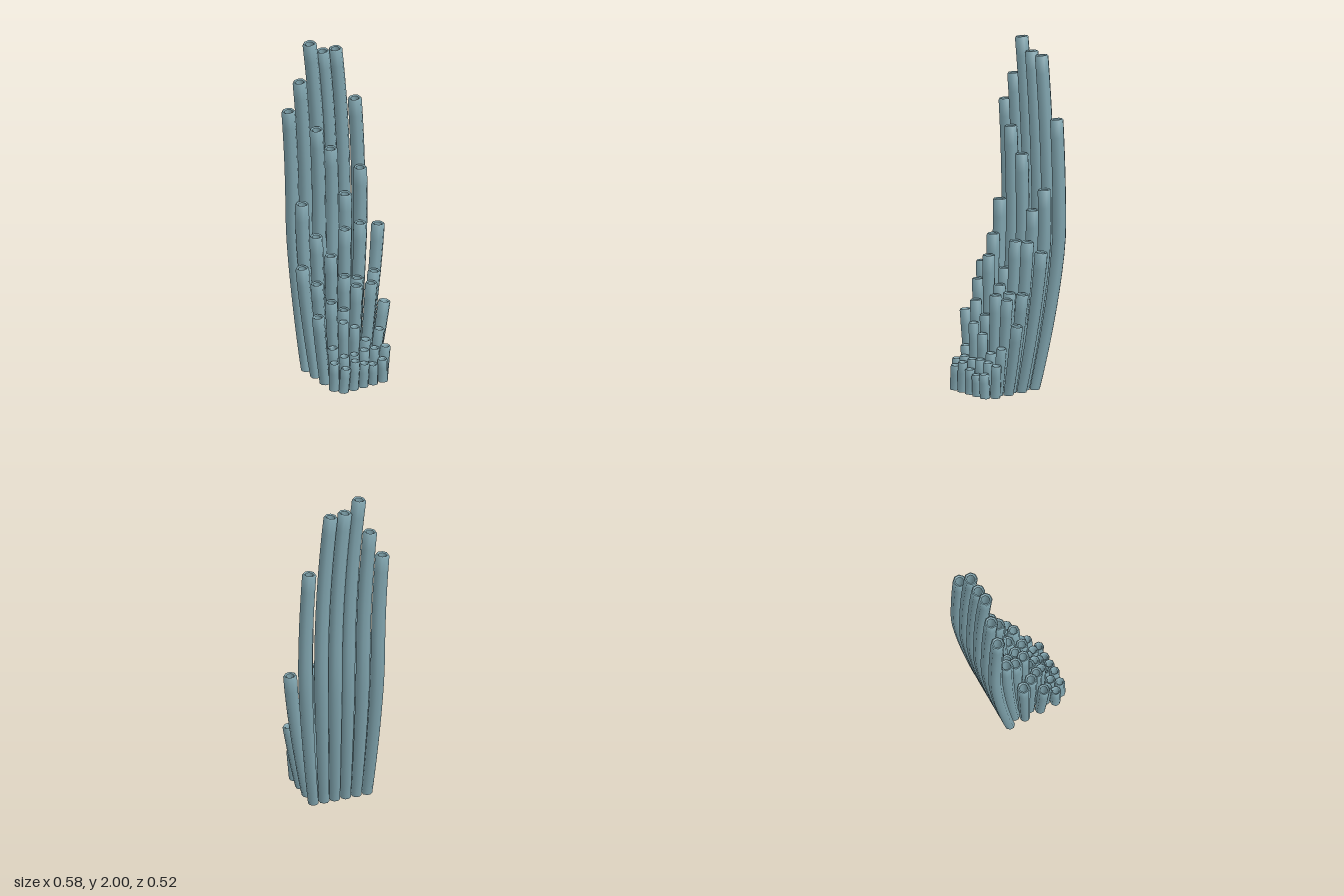
import * as THREE from 'three';
import { toCreasedNormals } from 'three/addons/utils/BufferGeometryUtils.js';

const SIDES = 8;

// Rows from back to front: z and radius at the tip, then [tip x, height] per tube
const ROWS = [
  { z: -0.224, r: 0.04, tubes: [[-0.245, 1.605], [-0.17, 1.77], [-0.104, 1.994], [-0.018, 1.925], [0.068, 1.917], [0.198, 1.57]] },
  { z: -0.145, r: 0.04, tubes: [[-0.203, 1.04], [-0.108, 1.485], [-0.013, 1.34], [0.082, 1.03], [0.184, 1.17]] },
  { z: -0.063, r: 0.039, tubes: [[-0.255, 0.685], [-0.162, 0.86], [-0.063, 0.68], [0.03, 0.855], [0.133, 0.868], [0.252, 0.832]] },
  { z: 0.013, r: 0.038, tubes: [[-0.204, 0.603], [-0.112, 0.757], [-0.02, 0.603], [0.066, 0.57], [0.178, 0.585]] },
  { z: 0.077, r: 0.036, tubes: [[-0.238, 0.43], [-0.15, 0.5], [-0.065, 0.43], [0.02, 0.56], [0.119, 0.552], [0.205, 0.415]] },
  { z: 0.133, r: 0.031, tubes: [[-0.174, 0.24], [-0.104, 0.385], [-0.028, 0.335], [0.045, 0.237], [0.136, 0.28]] },
  { z: 0.18, r: 0.03, tubes: [[-0.193, 0.17], [-0.128, 0.195], [-0.06, 0.19], [0.006, 0.2], [0.075, 0.195], [0.147, 0.19]] },
  { z: 0.229, r: 0.0295, tubes: [[-0.148, 0.145], [-0.086, 0.175], [-0.025, 0.145], [0.032, 0.125], [0.096, 0.14]] },
];

// Tubes fan outwards up to this height, then the tall ones lean back towards -x
const spread = (y) => 1 - Math.pow(1 - Math.min(y / 0.95, 1), 1.5);
const drift = (y) => 0.056 * Math.pow(Math.max(y - 0.9, 0), 2);

function tubeGeometry(baseX, baseZ, tipX, tipZ, tipR, h) {
  const k = 1 / spread(h);
  const midX = tipX + drift(h);
  const centre = (y) => {
    const s = spread(y) * k;
    return [baseX + (midX - baseX) * s - drift(y), baseZ + (tipZ - baseZ) * s];
  };
  const radius = (y) => 0.03 + (tipR - 0.03) * Math.min(y / Math.min(h, 0.8), 1);

  // Closed profile: up the outside, over the rounded rim, down the bore
  const steps = Math.max(3, Math.ceil(h / 0.1));
  const profile = [];
  for (let i = 0; i <= steps; i++) {
    const y = (h - 0.008) * i / steps;
    profile.push([y, radius(y)]);
  }
  profile.push([h, tipR * 0.84], [h - 0.005, tipR * 0.6]);
  for (let i = steps - 1; i >= 0; i--) {
    const y = (h - 0.008) * i / steps;
    profile.push([y, radius(y) * 0.6]);
  }

  const positions = [], index = [], e = 0.01;
  for (const [y, r] of profile) {
    const [cx, cz] = centre(y);
    const [lx, lz] = centre(Math.max(y - e, 0));
    const tilt = Math.min(y / 0.1, 1) / e; // rings lean with the tube, base stays flat
    for (let j = 0; j < SIDES; j++) {
      const a = (j + 0.5) / SIDES * Math.PI * 2;
      const dx = r * Math.cos(a), dz = r * Math.sin(a);
      positions.push(cx + dx, y - ((cx - lx) * dx + (cz - lz) * dz) * tilt, cz + dz);
    }
  }
  const n = profile.length;
  for (let i = 0; i < n; i++) {
    for (let j = 0; j < SIDES; j++) {
      const j2 = (j + 1) % SIDES, i2 = (i + 1) % n;
      const a = i * SIDES + j, b = i * SIDES + j2;
      const c = i2 * SIDES + j, d = i2 * SIDES + j2;
      index.push(a, c, b, b, c, d);
    }
  }
  const geo = new THREE.BufferGeometry();
  geo.setAttribute('position', new THREE.Float32BufferAttribute(positions, 3));
  geo.setIndex(index);
  return toCreasedNormals(geo, 1.0);
}

export function createModel() {
  const model = new THREE.Group();
  model.name = 'tubeCluster';
  const material = new THREE.MeshStandardMaterial({ color: 0x7fa3ad });

  ROWS.forEach((row, i) => {
    const group = new THREE.Group();
    group.name = `tubeRow${i + 1}`;
    // Staggered packing at the foot
    const baseZ = -0.118 + 0.049 * i;
    row.tubes.forEach(([x, h], j) => {
      const baseX = -0.03 + (j - (row.tubes.length - 1) / 2) * 0.065;
      const tube = new THREE.Mesh(tubeGeometry(baseX, baseZ, x, row.z, row.r, h), material);
      tube.name = `tube${i + 1}_${j + 1}`;
      group.add(tube);
    });
    model.add(group);
  });
  return model;
}
